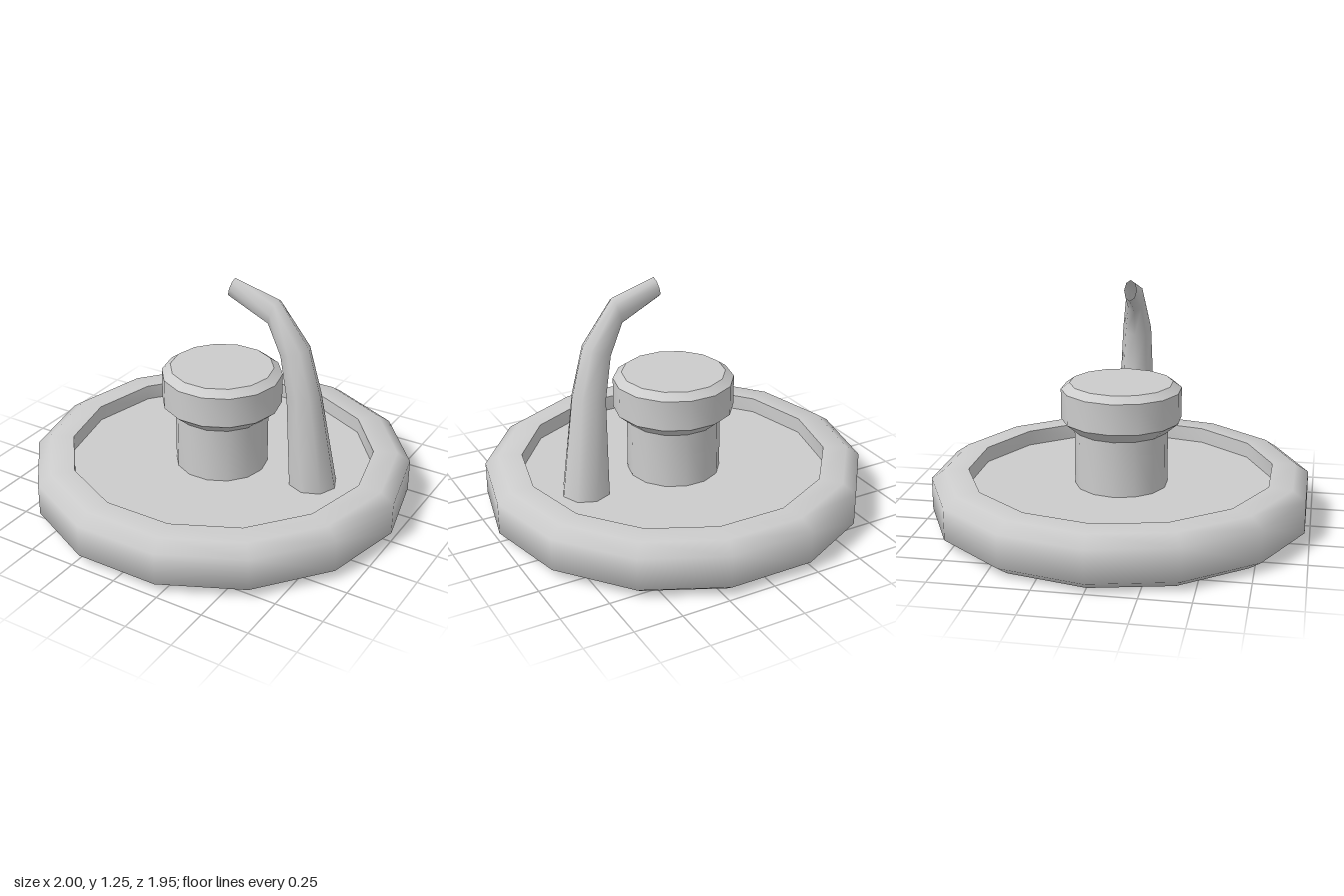
import * as THREE from 'three';
import { toCreasedNormals } from 'three/addons/utils/BufferGeometryUtils.js';

const SIDES = 14;
const material = new THREE.MeshStandardMaterial({ color: 0xcccccc });
const openMaterial = new THREE.MeshStandardMaterial({ color: 0xcccccc, side: THREE.DoubleSide });

// Turned part with a corner on the x axis; edges sharper than `crease` stay hard
function turned(name, profile, crease) {
  const points = profile.map(([r, y]) => new THREE.Vector2(r, y));
  const geometry = new THREE.LatheGeometry(points, SIDES, Math.PI / 2);
  const mesh = new THREE.Mesh(toCreasedNormals(geometry, crease), material);
  mesh.name = name;
  return mesh;
}

// Tapering tube lofted through oval rings: [inner x, y], [outer x, y], z centre, z radius
function loft(rings, sides) {
  const positions = [];
  const index = [];
  rings.forEach(([[x0, y0], [x1, y1], zc, rz], i) => {
    for (let j = 0; j < sides; j++) {
      const a = (j / sides) * Math.PI * 2;
      const c = Math.cos(a) / 2;
      positions.push((x0 + x1) / 2 + (x1 - x0) * c, (y0 + y1) / 2 + (y1 - y0) * c, zc + rz * Math.sin(a));
      if (i === 0) continue;
      const k = (j + 1) % sides;
      const lo = (i - 1) * sides;
      const hi = i * sides;
      index.push(lo + j, hi + j, lo + k, hi + j, hi + k, lo + k);
    }
  });
  const geometry = new THREE.BufferGeometry();
  geometry.setAttribute('position', new THREE.Float32BufferAttribute(positions, 3));
  geometry.setIndex(index);
  geometry.computeVertexNormals();
  return geometry;
}

export function createModel() {
  const model = new THREE.Group();
  model.name = 'fountain';

  // Shallow basin with bevelled rim and sunken floor
  model.add(turned('basin', [
    [0.93, 0], [1, 0.05], [1, 0.22], [0.93, 0.268], [0.805, 0.268], [0.805, 0.185], [0, 0.185],
  ], 1.1));

  // Flat underside
  const underside = new THREE.Mesh(new THREE.CircleGeometry(0.93, SIDES), material);
  underside.rotation.x = Math.PI / 2;
  underside.name = 'underside';
  model.add(underside);

  // Central post with a wider bevelled cap
  model.add(turned('buttonPost', [
    [0.245, 0.18], [0.245, 0.48], [0.315, 0.54], [0.315, 0.7], [0.27, 0.733], [0, 0.733],
  ], 0.55));

  // Bent spout, open at the tip
  const spout = new THREE.Mesh(loft([
    [[0.403, 0.18], [0.658, 0.18], -0.035, 0.127],
    [[0.39, 0.68], [0.575, 0.7], 0.003, 0.088],
    [[0.355, 0.9], [0.505, 0.955], 0.012, 0.077],
    [[0.29, 1.04], [0.335, 1.185], 0.02, 0.05],
    [[0.063, 1.147], [0.095, 1.25], 0.032, 0.032],
  ], 8), openMaterial);
  spout.name = 'spout';
  model.add(spout);

  return model;
}
